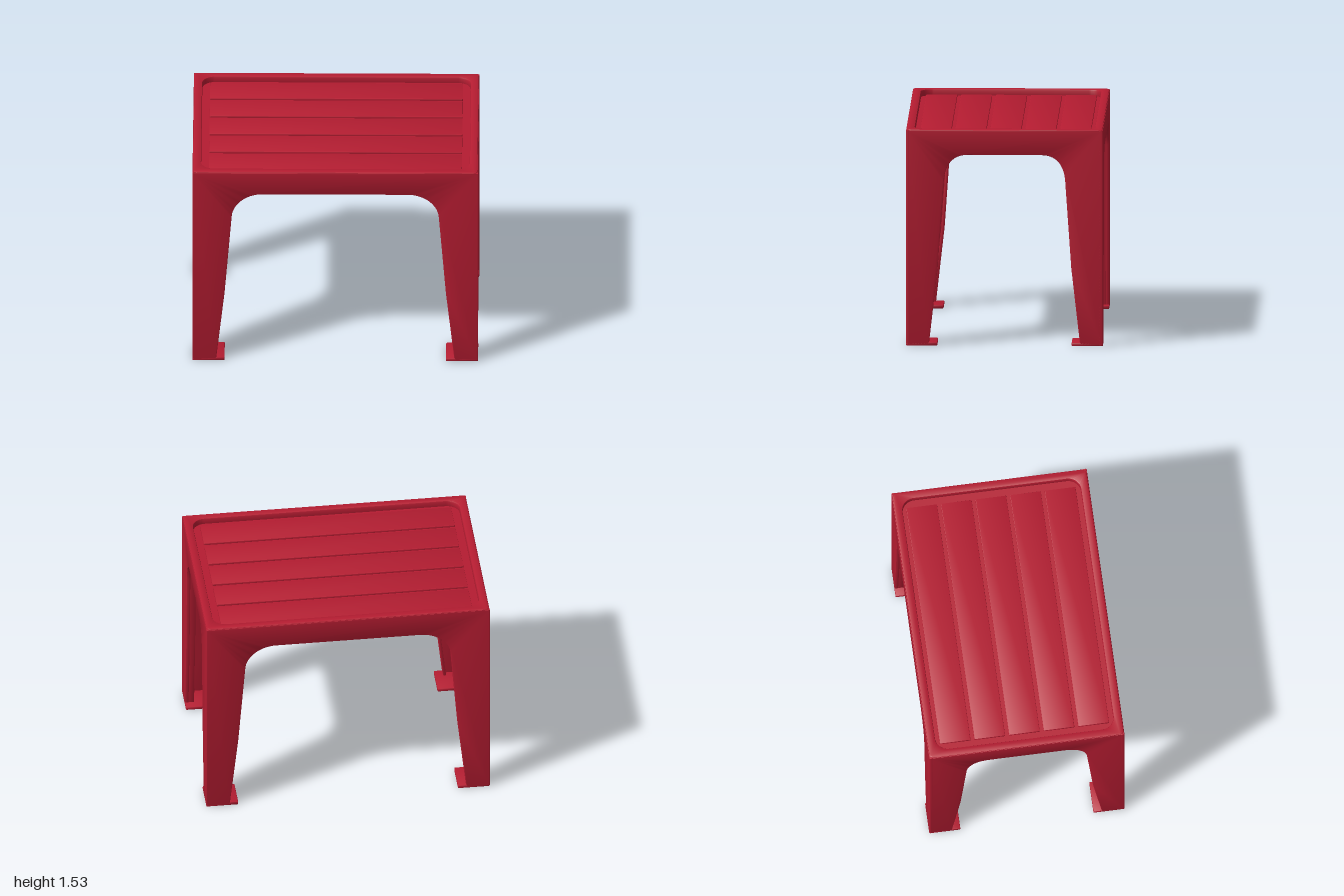
import * as THREE from 'three';
import { toCreasedNormals } from 'three/addons/utils/BufferGeometryUtils.js';

const material = new THREE.MeshStandardMaterial({ color: 0xb51c31 });
const WALL = 0.03, TOP = 1.53, HX = 1, HZ = 0.69;

function add(parent, geometry, name, x = 0, y = 0, z = 0) {
  const mesh = new THREE.Mesh(geometry, material);
  mesh.name = name;
  mesh.position.set(x, y, z);
  parent.add(mesh);
  return mesh;
}

// Extrusion with softened edges that stays inside the drawn outline
function extrude(shape, depth, bevel) {
  const geometry = new THREE.ExtrudeGeometry(shape, {
    depth: depth - 2 * bevel, curveSegments: 14, bevelEnabled: true,
    bevelSize: bevel, bevelThickness: bevel, bevelOffset: -bevel, bevelSegments: 2,
  });
  geometry.translate(0, 0, bevel);
  return toCreasedNormals(geometry, 0.6);
}

function roundedRect(path, hx, hy, r) {
  path.moveTo(-hx + r, -hy);
  path.absarc(hx - r, -hy + r, r, -Math.PI / 2, 0);
  path.absarc(hx - r, hy - r, r, 0, Math.PI / 2);
  path.absarc(-hx + r, hy - r, r, Math.PI / 2, Math.PI);
  path.absarc(-hx + r, -hy + r, r, Math.PI, Math.PI * 1.5);
  path.closePath();
  return path;
}

// Arch opening from the right foot over to the left foot, widened by d
function archPoints([foot, knee, shoulder, crown], d) {
  const p = new THREE.Path();
  p.moveTo(foot + d, 0.005);
  p.lineTo(knee + d, 0.55);
  p.lineTo(shoulder + d, 1.17);
  p.bezierCurveTo(shoulder - 0.008 + d, 1.27 + d, crown + 0.11 + d, 1.35 + d, crown, 1.35 + d);
  const half = p.getPoints(14);
  return [...half, ...half.map(v => new THREE.Vector2(-v.x, v.y)).reverse()];
}

// One side: two legs joined by an apron, with an inward lip around the arch
function sidePanel(halfWidth, arch, name) {
  const group = new THREE.Group();
  group.name = name;
  const wall = new THREE.Shape([
    ...archPoints(arch, 0),
    new THREE.Vector2(-halfWidth, 0.005), new THREE.Vector2(-halfWidth, TOP - 0.006),
    new THREE.Vector2(halfWidth, TOP - 0.006), new THREE.Vector2(halfWidth, 0.005),
  ]);
  add(group, extrude(wall, WALL, 0.007), 'legsAndApron', 0, 0, -WALL);
  const lip = new THREE.Shape([...archPoints(arch, 0.001), ...archPoints(arch, 0.022).reverse()]);
  add(group, extrude(lip, 0.05, 0.005), 'archLip', 0, 0, -WALL - 0.035);
  return group;
}

export function createModel() {
  const table = new THREE.Group();
  table.name = 'sideTable';

  // Four sides
  const longArch = [0.835, 0.775, 0.725, 0.51];
  const shortArch = [0.53, 0.468, 0.425, 0.26];
  for (const s of [1, -1]) {
    const long = sidePanel(HX, longArch, s > 0 ? 'frontSide' : 'backSide');
    long.position.z = s * HZ;
    long.rotation.y = s > 0 ? 0 : Math.PI;
    const short = sidePanel(HZ - 0.004, shortArch, s > 0 ? 'leftSide' : 'rightSide');
    short.position.x = s * HX;
    short.rotation.y = s * Math.PI / 2;
    table.add(long, short);
  }

  // Raised rim around the tray
  const rimShape = roundedRect(new THREE.Shape(), HX - 0.003, HZ - 0.003, 0.03);
  rimShape.holes.push(roundedRect(new THREE.Path(), 0.94, 0.63, 0.09));
  const rim = add(table, extrude(rimShape, 0.065, 0.01), 'rim', 0, TOP - 0.065, 0);
  rim.rotation.x = -Math.PI / 2;

  // Tray floor and the slats on it
  add(table, new THREE.BoxGeometry(1.96, 0.02, 1.34), 'trayFloor', 0, 1.475, 0);
  const slat = extrude(roundedRect(new THREE.Shape(), 0.886, 0.109, 0.006), 0.022, 0.004);
  slat.rotateX(-Math.PI / 2);
  for (let i = -2; i <= 2; i++) add(table, slat, 'slat', 0, 1.477, i * 0.2445 - 0.003);

  // Stiffening ribs underneath
  for (const z of [-0.2, 0.2]) add(table, new THREE.BoxGeometry(1.8, 0.02, 0.02), 'longRib', 0, 1.458, z);
  add(table, new THREE.BoxGeometry(0.02, 0.02, 1.2), 'crossRib', 0, 1.457, 0);

  // Foot plates and the corner posts inside the legs
  const plate = extrude(roundedRect(new THREE.Shape(), 0.1125, 0.11, 0.008), 0.025, 0.006);
  plate.rotateX(-Math.PI / 2);
  for (const sx of [1, -1]) {
    for (const sz of [1, -1]) {
      add(table, plate, 'footPlate', sx * (HX - 0.1125), 0, sz * (HZ - 0.11));
      add(table, new THREE.BoxGeometry(0.06, 0.8, 0.06), 'cornerPost',
        sx * (HX - 0.05), 0.48, sz * (HZ - 0.05));
    }
  }
  return table;
}
